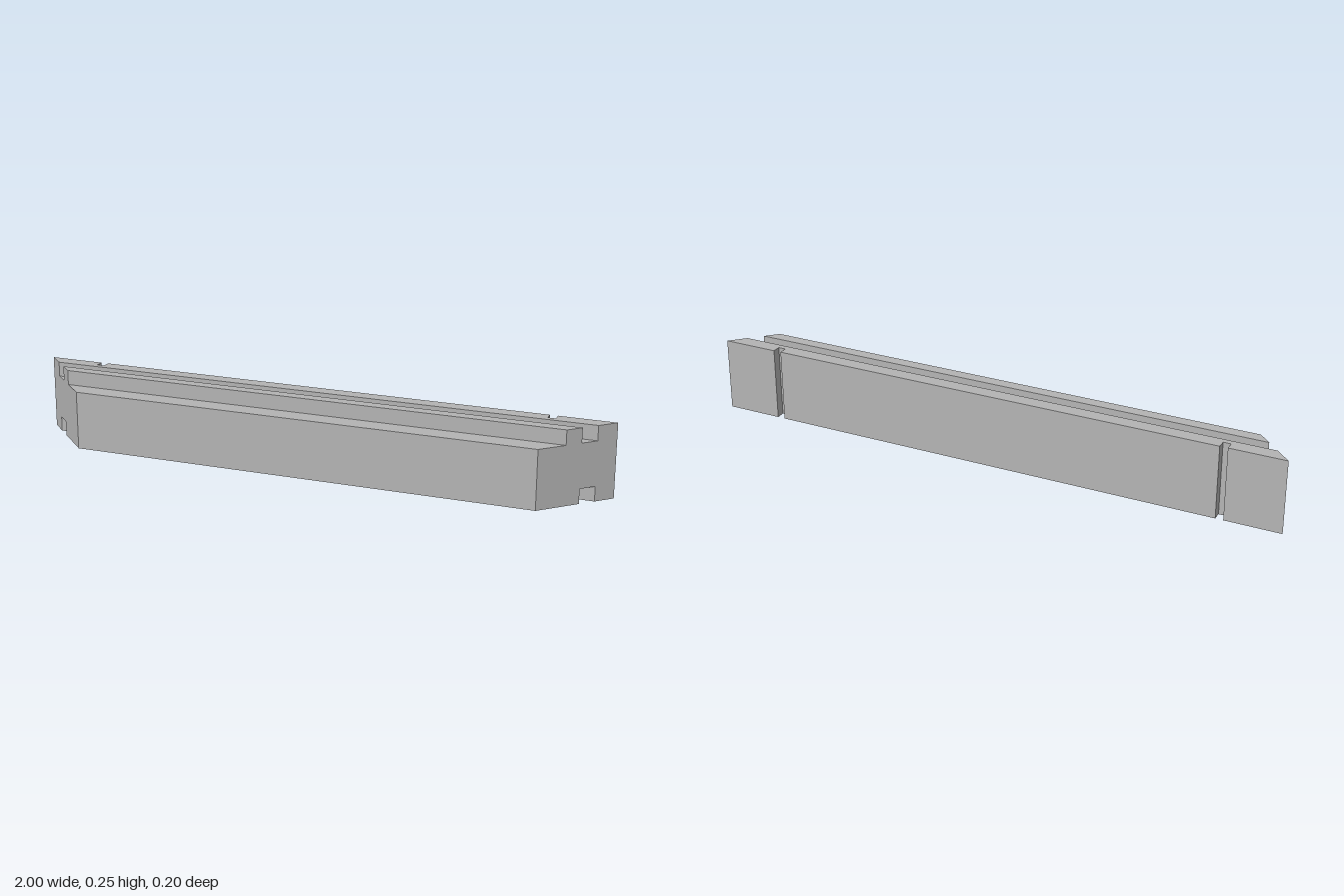
import * as THREE from 'three';

// Half length of the mitred rail at depth z (45 degree ends)
const mitre = (z) => 0.9 - z;

// Sweeps a [z, y] profile along x; each end's x is a function of z
function sweep(profile, startX, endX) {
  const shape = new THREE.Shape(profile.map(([z, y]) => new THREE.Vector2(-z, y)));
  const geo = new THREE.ExtrudeGeometry(shape, { depth: 1, bevelEnabled: false });
  geo.rotateY(Math.PI / 2);
  const p = geo.attributes.position;
  for (let i = 0; i < p.count; i++) {
    const z = p.getZ(i);
    p.setX(i, p.getX(i) < 0.5 ? startX(z) : endX(z));
  }
  geo.computeVertexNormals();
  return geo;
}

export function createModel() {
  const group = new THREE.Group();
  group.name = 'mitredRail';
  const grey = new THREE.MeshStandardMaterial({ color: 0xb4b4b4 });
  grey.name = 'grey';

  const add = (name, geo) => {
    const mesh = new THREE.Mesh(geo, grey);
    mesh.name = name;
    group.add(mesh);
  };

  // Main rail: front step, upper rib, top and bottom grooves
  const slotZ = -0.07;
  add('rail', sweep([
    [0.1, 0], [-0.01, 0], [-0.01, 0.05], [-0.05, 0.05], [-0.05, 0], [slotZ, 0],
    [slotZ, 0.25], [-0.05, 0.25], [-0.05, 0.2], [-0.01, 0.2], [-0.01, 0.25],
    [0.03, 0.25], [0.03, 0.2], [0.1, 0.2],
  ].reverse(), (z) => -mitre(z), mitre));

  // Back face in three panels, leaving two vertical slots
  const panel = [[slotZ, 0], [-0.1, 0], [-0.1, 0.25], [slotZ, 0.25]].reverse();
  const slotIn = 0.784, slotOut = 0.81;
  add('backPanelCentre', sweep(panel, () => -slotIn, () => slotIn));
  add('backPanelLeft', sweep(panel, () => slotOut, mitre));
  add('backPanelRight', sweep(panel, (z) => -mitre(z), () => -slotOut));

  return group;
}
